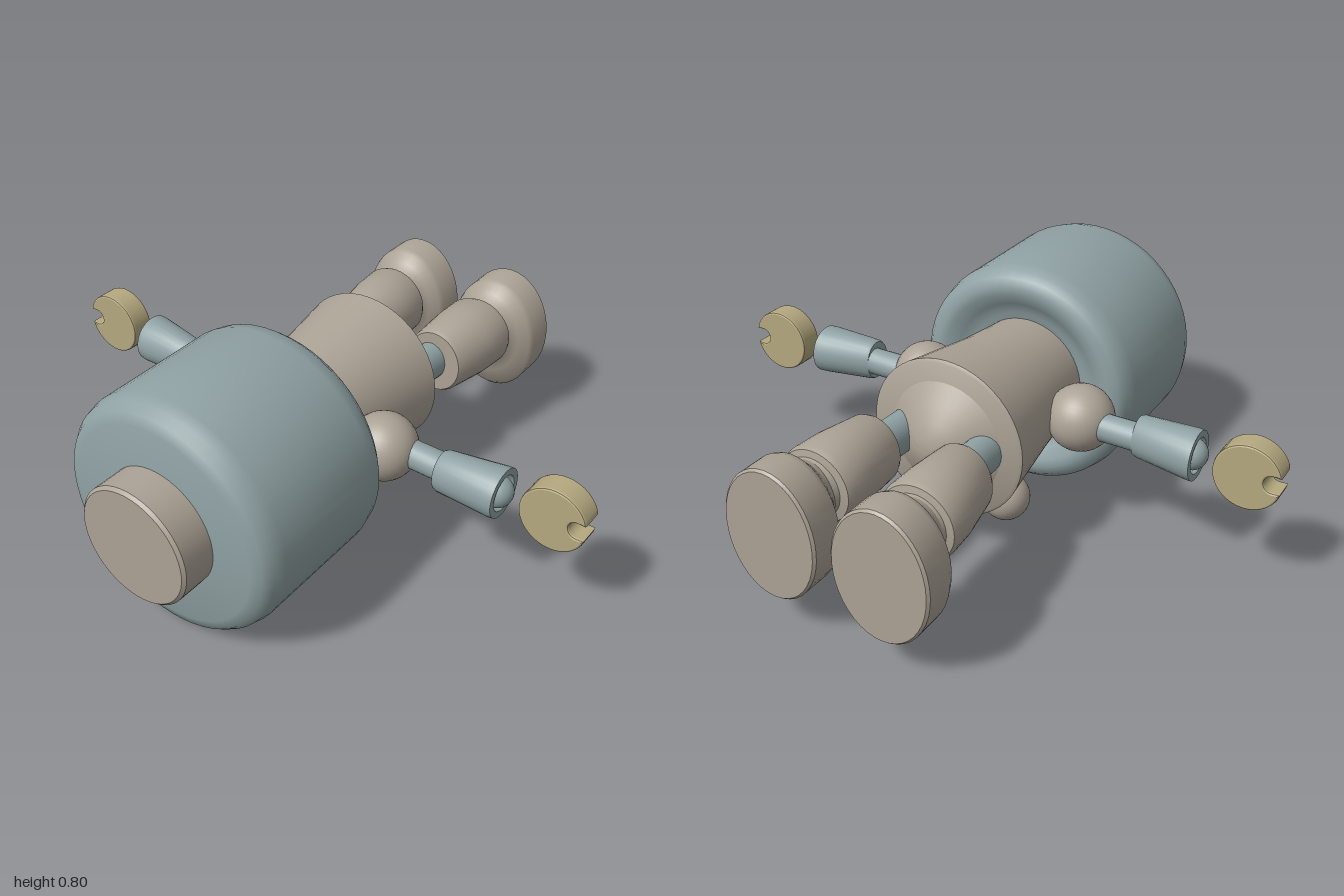
import * as THREE from 'three';
import { toCreasedNormals } from 'three/addons/utils/BufferGeometryUtils.js';

const CY = 0.41; // height of the main axis

// Skin over elliptical sections [z, rx, ry, cx, cy], closed at both ends
function loft(sections, sides = 40) {
  const pos = [], idx = [];
  const first = sections[0], last = sections[sections.length - 1];
  const rings = [
    [first[0], 0, 0, first[3], first[4]],
    ...sections,
    [last[0], 0, 0, last[3], last[4]],
  ];
  for (const [z, rx, ry = rx, cx = 0, cy = 0] of rings) {
    for (let j = 0; j < sides; j++) {
      const a = (j / sides) * Math.PI * 2;
      pos.push(cx + rx * Math.cos(a), cy + ry * Math.sin(a), z);
    }
  }
  for (let i = 0; i < rings.length - 1; i++) {
    for (let j = 0; j < sides; j++) {
      const k = (j + 1) % sides;
      const a = i * sides + j, b = i * sides + k;
      const c = b + sides, d = a + sides;
      if (i > 0) idx.push(a, b, c);
      if (i === 0) idx.push(a, c, d);
      else if (i < rings.length - 2) idx.push(a, c, d);
    }
  }
  const g = new THREE.BufferGeometry();
  g.setAttribute('position', new THREE.Float32BufferAttribute(pos, 3));
  g.setIndex(idx);
  return toCreasedNormals(g, 0.7);
}

function material(name, color) {
  const m = new THREE.MeshStandardMaterial({ color });
  m.name = name;
  return m;
}

export function createModel() {
  const model = new THREE.Group();
  model.name = 'lyingFigure';
  const beige = material('warm grey', 0xaca396);
  const blue = material('blue grey', 0x90a2a4);
  const gold = material('dull gold', 0xb5a980);

  const add = (parent, name, geometry, mat, x = 0, y = 0, z = 0) => {
    const mesh = new THREE.Mesh(geometry, mat);
    mesh.name = name;
    mesh.position.set(x, y, z);
    parent.add(mesh);
    return mesh;
  };
  const ball = (r) => new THREE.SphereGeometry(r, 32, 20);

  // Barrel head with rounded rims and a shallow neck recess
  add(model, 'head', loft([
    [0.25, 0.23], [0.23, 0.27], [0.2, 0.31], [0.2, 0.34], [0.21, 0.37], [0.235, 0.39],
    [0.28, 0.4], [0.7, 0.4], [0.74, 0.39], [0.768, 0.37], [0.78, 0.335],
  ], 56), blue, 0, CY, 0);
  add(model, 'headCap', loft([
    [0.74, 0.2], [0.89, 0.2], [0.9, 0.19],
  ], 48), beige, 0, CY, 0);

  // Flared torso with a domed base
  add(model, 'torso', loft([
    [-0.265, 0.265], [-0.258, 0.275], [-0.15, 0.258], [0.05, 0.228], [0.26, 0.208],
  ], 48), beige, 0, CY, 0);
  add(model, 'hipDome', loft([
    [-0.36, 0.015], [-0.353, 0.05], [-0.335, 0.09], [-0.305, 0.14], [-0.265, 0.2], [-0.25, 0.2],
  ]), beige, 0, CY, 0);

  // Claw outline: a disc with a round notch on its outer side
  const R = 0.11, half = 0.034, tip = Math.asin(half / R);
  const claw = new THREE.Shape();
  claw.absarc(0, 0, R - 0.006, tip, Math.PI * 2 - tip, false);
  claw.lineTo(0.08, -half);
  claw.absarc(0.08, 0, half, -Math.PI / 2, Math.PI / 2, true);
  claw.closePath();
  const clawGeo = new THREE.ExtrudeGeometry(claw, {
    depth: 0.068, bevelEnabled: true, bevelSize: 0.006, bevelThickness: 0.008,
    bevelSegments: 2, curveSegments: 40,
  });
  clawGeo.translate(0, 0, -0.034);

  for (const s of [1, -1]) {
    const side = s > 0 ? 'left' : 'right';

    // Arm, lofted along its own z and turned outwards
    add(model, side + 'Shoulder', ball(0.113), beige, s * 0.3, CY, 0.08);
    const arm = new THREE.Group();
    arm.name = side + 'Arm';
    arm.position.set(0, CY, 0);
    arm.rotation.y = (s * Math.PI) / 2;
    model.add(arm);
    const o = -s; // local x runs against world z on the left side
    add(arm, side + 'UpperArm', loft([
      [0.36, 0.047, 0.047, o * 0.06, 0], [0.56, 0.047, 0.047, o * 0.06, 0],
    ], 20), blue);
    add(arm, side + 'Forearm', loft([
      [0.51, 0.058, 0.068, o * 0.072, 0], [0.52, 0.062, 0.073, o * 0.072, 0],
      [0.7, 0.084, 0.083, o * 0.057, 0], [0.72, 0.083, 0.083, o * 0.055, 0],
      [0.72, 0.06, 0.06, o * 0.055, 0], [0.69, 0.055, 0.055, o * 0.055, 0],
    ], 28), blue);
    add(arm, side + 'Wrist', ball(0.052), blue, o * 0.057, 0, 0.698);

    // Detached claw hand
    const hand = add(model, side + 'Claw', clawGeo, gold, s * 0.895, 0.415, 0.043);
    hand.rotation.y = s > 0 ? 0 : Math.PI;

    // Stud under the torso
    add(model, side + 'BellyStud', ball(0.08), beige, s * 0.14, 0.165, -0.125);

    // Leg with sleeve, ankle and oval foot
    add(model, side + 'Thigh', loft([
      [-0.46, 0.058, 0.07, s * 0.155, CY], [-0.24, 0.058, 0.07, s * 0.145, CY],
    ], 24), blue);
    add(model, side + 'Shin', loft([
      [-0.74, 0.09, 0.095, s * 0.19, 0.405], [-0.7, 0.1, 0.1, s * 0.185, 0.41],
      [-0.695, 0.125, 0.122, s * 0.183, 0.41], [-0.675, 0.133, 0.13, s * 0.181, 0.41],
      [-0.58, 0.128, 0.13, s * 0.177, 0.41], [-0.435, 0.108, 0.12, s * 0.167, 0.41],
      [-0.42, 0.1, 0.112, s * 0.166, 0.41],
    ]), beige);
    add(model, side + 'Foot', loft([
      [-0.9, 0.158, 0.213, s * 0.192, 0.35], [-0.892, 0.166, 0.22, s * 0.192, 0.35],
      [-0.795, 0.166, 0.22, s * 0.192, 0.35], [-0.775, 0.158, 0.208, s * 0.192, 0.355],
      [-0.75, 0.125, 0.16, s * 0.19, 0.375], [-0.725, 0.1, 0.11, s * 0.189, 0.4],
      [-0.69, 0.09, 0.095, s * 0.187, 0.41],
    ]), beige);
  }
  return model;
}
